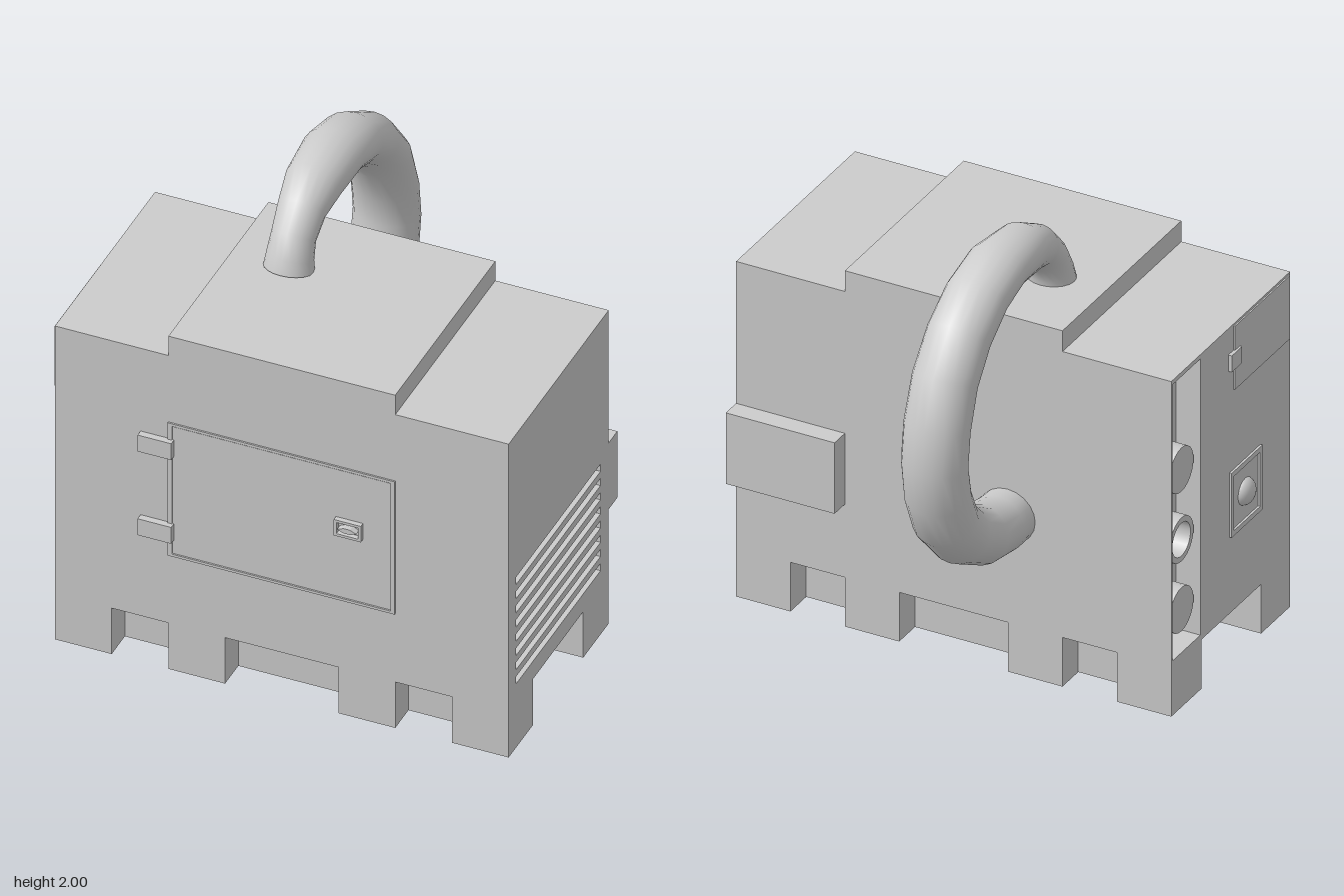
import * as THREE from 'three';

const grey = new THREE.MeshStandardMaterial({ color: 0xcccccc });

function add(parent, name, geometry) {
  const mesh = new THREE.Mesh(geometry, grey);
  mesh.name = name;
  parent.add(mesh);
  return mesh;
}

// Box given by its limits on each axis
function box(parent, name, [x0, x1], [y0, y1], [z0, z1]) {
  const mesh = add(parent, name, new THREE.BoxGeometry(x1 - x0, y1 - y0, z1 - z0));
  mesh.position.set((x0 + x1) / 2, (y0 + y1) / 2, (z0 + z1) / 2);
  return mesh;
}

function rect(Type, x0, x1, y0, y1) {
  return new Type([[x0, y0], [x1, y0], [x1, y1], [x0, y1]].map(p => new THREE.Vector2(...p)));
}

// Flat frame or plate with rectangular holes; each rectangle is [u0, u1, v0, v1]
function plate(outer, holes, depth) {
  const shape = rect(THREE.Shape, ...outer);
  holes.forEach(h => shape.holes.push(rect(THREE.Path, ...h)));
  return new THREE.ExtrudeGeometry(shape, { depth, bevelEnabled: false });
}

// Side wall across x; rectangles are [z0, z1, y0, y1]
function sideWall(parent, name, x0, x1, outer, holes) {
  const flip = ([z0, z1, y0, y1]) => [-z1, -z0, y0, y1];
  const geometry = plate(flip(outer), holes.map(flip), x1 - x0).rotateY(Math.PI / 2);
  add(parent, name, geometry).position.x = x0;
}

// Base skid with pockets cut in from its outer face
function skid(parent, name, inner, outer) {
  const cut = outer + Math.sign(inner - outer) * 0.13;
  const pts = [[-0.96, inner], [-0.96, outer]];
  for (const [a, b] of [[-0.715, -0.47], [-0.225, 0.265], [0.51, 0.755]])
    pts.push([a, outer], [a, cut], [b, cut], [b, outer]);
  pts.push([1, outer], [1, inner]);
  const shape = new THREE.Shape(pts.map(([x, z]) => new THREE.Vector2(x, -z)));
  add(parent, name, new THREE.ExtrudeGeometry(shape, { depth: 0.225, bevelEnabled: false })
    .rotateX(-Math.PI / 2));
}

// Bent pipe from stations [z, y, half width in x, half height in the bend plane]
function pipeGeometry(stations, cx, sides) {
  const pos = [], index = [];
  stations.forEach(([z, y, rx, rn], i) => {
    const p = stations[Math.max(i - 1, 0)], q = stations[Math.min(i + 1, stations.length - 1)];
    const len = Math.hypot(q[0] - p[0], q[1] - p[1]);
    const tz = (q[0] - p[0]) / len, ty = (q[1] - p[1]) / len;
    for (let j = 0; j < sides; j++) {
      const a = (j / sides) * Math.PI * 2, c = Math.cos(a) * rx, s = Math.sin(a) * rn;
      pos.push(cx + c, y + s * tz, z - s * ty);
      if (i === stations.length - 1) continue;
      const k = i * sides, n = (j + 1) % sides;
      index.push(k + j, k + n, k + sides + j, k + n, k + sides + n, k + sides + j);
    }
  });
  const geometry = new THREE.BufferGeometry();
  geometry.setAttribute('position', new THREE.Float32BufferAttribute(pos, 3));
  geometry.setIndex(index);
  geometry.computeVertexNormals();
  return geometry;
}

export function createModel() {
  const model = new THREE.Group();
  model.name = 'generatorUnit';
  const Z = [-0.15, 0.83];

  // Cabinet: core, louvred side, slotted side, raised lid
  box(model, 'cabinetCore', [-0.85, 0.97], [0.225, 1.535], Z);
  const vents = [];
  for (let i = 0; i < 8; i++) vents.push([-0.07, 0.76, 0.312 + i * 0.0695, 0.348 + i * 0.0695]);
  sideWall(model, 'ventedSide', 0.97, 1, [...Z, 0.225, 1.535], vents);
  sideWall(model, 'slottedSide', -0.96, -0.85, [...Z, 0.225, 1.535], [[-0.138, 0.09, 0.25, 1.515]]);
  box(model, 'raisedLid', [-0.47, 0.51], [1.535, 1.63], Z);
  box(model, 'rearBox', [0.51, 1], [0.56, 0.885], [-0.235, -0.15]);

  // Base skids with a channel between them
  skid(model, 'frontSkid', 0.59, 0.83);
  skid(model, 'rearSkid', 0.1, -0.15);

  // Front door with frame, hinges and latch
  const door = new THREE.Group();
  door.name = 'frontDoor';
  model.add(door);
  add(door, 'doorFrame', plate([-0.47, 0.51, 0.56, 1.21], [[-0.452, 0.492, 0.572, 1.198]], 0.007))
    .position.z = 0.83;
  box(door, 'doorPanel', [-0.448, 0.488], [0.576, 1.194], [0.82, 0.833]);
  for (const y of [0.68, 1.09]) box(door, 'hinge', [-0.59, -0.445], [y - 0.04, y + 0.04], [0.83, 0.86]);
  add(door, 'latchFrame', plate([0.255, 0.372, 0.885, 0.963], [[0.267, 0.36, 0.897, 0.951]], 0.022))
    .position.z = 0.833;
  const grip = new THREE.Shape([[0.272, 0.924], [0.3, 0.913], [0.328, 0.913], [0.356, 0.924],
    [0.328, 0.936], [0.3, 0.936]].map(p => new THREE.Vector2(...p)));
  add(door, 'latchHandle', new THREE.ExtrudeGeometry(grip, { depth: 0.03, bevelEnabled: false }))
    .position.z = 0.832;

  // Connectors inside the side slot, the middle one hollow
  for (const y of [0.42, 0.74, 1.06]) {
    const hollow = y === 0.74;
    const profile = hollow
      ? [[0.07, 0], [0.1, 0], [0.1, 0.085], [0.075, 0.085], [0.075, 0.01], [0, 0.01]]
      : [[0.1, 0], [0.1, 0.085], [0, 0.085]];
    // Doubled points keep the rims sharp
    const pts = profile.flatMap(([r, h]) => [new THREE.Vector2(r, h), new THREE.Vector2(r, h)]);
    const geometry = new THREE.LatheGeometry(pts, 24).rotateZ(Math.PI / 2);
    add(model, hollow ? 'socketConnector' : 'plugConnector', geometry).position.set(-0.852, y, -0.024);
  }

  // Small hatch and push button on the slotted side
  box(model, 'sideHatch', [-0.966, -0.95], [1.235, 1.525], [0.365, 0.82]);
  box(model, 'hatchLatch', [-0.976, -0.95], [1.34, 1.415], [0.32, 0.405]);
  sideWall(model, 'buttonFrame', -0.97, -0.955, [0.33, 0.585, 0.575, 0.87], [[0.35, 0.565, 0.598, 0.847]]);
  const button = add(model, 'pushButton',
    new THREE.SphereGeometry(1, 20, 8, 0, Math.PI * 2, 0, Math.PI / 2).rotateZ(Math.PI / 2));
  button.scale.set(0.045, 0.06, 0.06);
  button.position.set(-0.955, 0.72, 0.46);

  // Exhaust pipe looping from the rear wall onto the lid
  add(model, 'exhaustPipe', pipeGeometry([
    [-0.14, 0.715, 0.125, 0.12], [-0.24, 0.72, 0.13, 0.12], [-0.39, 0.75, 0.135, 0.122],
    [-0.55, 0.84, 0.138, 0.125], [-0.66, 0.955, 0.14, 0.122], [-0.723, 1.1, 0.14, 0.118],
    [-0.75, 1.26, 0.14, 0.11], [-0.73, 1.42, 0.14, 0.11], [-0.665, 1.6, 0.138, 0.112],
    [-0.55, 1.745, 0.136, 0.112], [-0.4, 1.85, 0.135, 0.104], [-0.23, 1.9, 0.133, 0.1],
    [-0.03, 1.882, 0.12, 0.102], [0.085, 1.83, 0.1, 0.088], [0.165, 1.75, 0.092, 0.082],
    [0.2, 1.675, 0.098, 0.085], [0.21, 1.625, 0.105, 0.09],
  ], -0.222, 20));

  return model;
}
